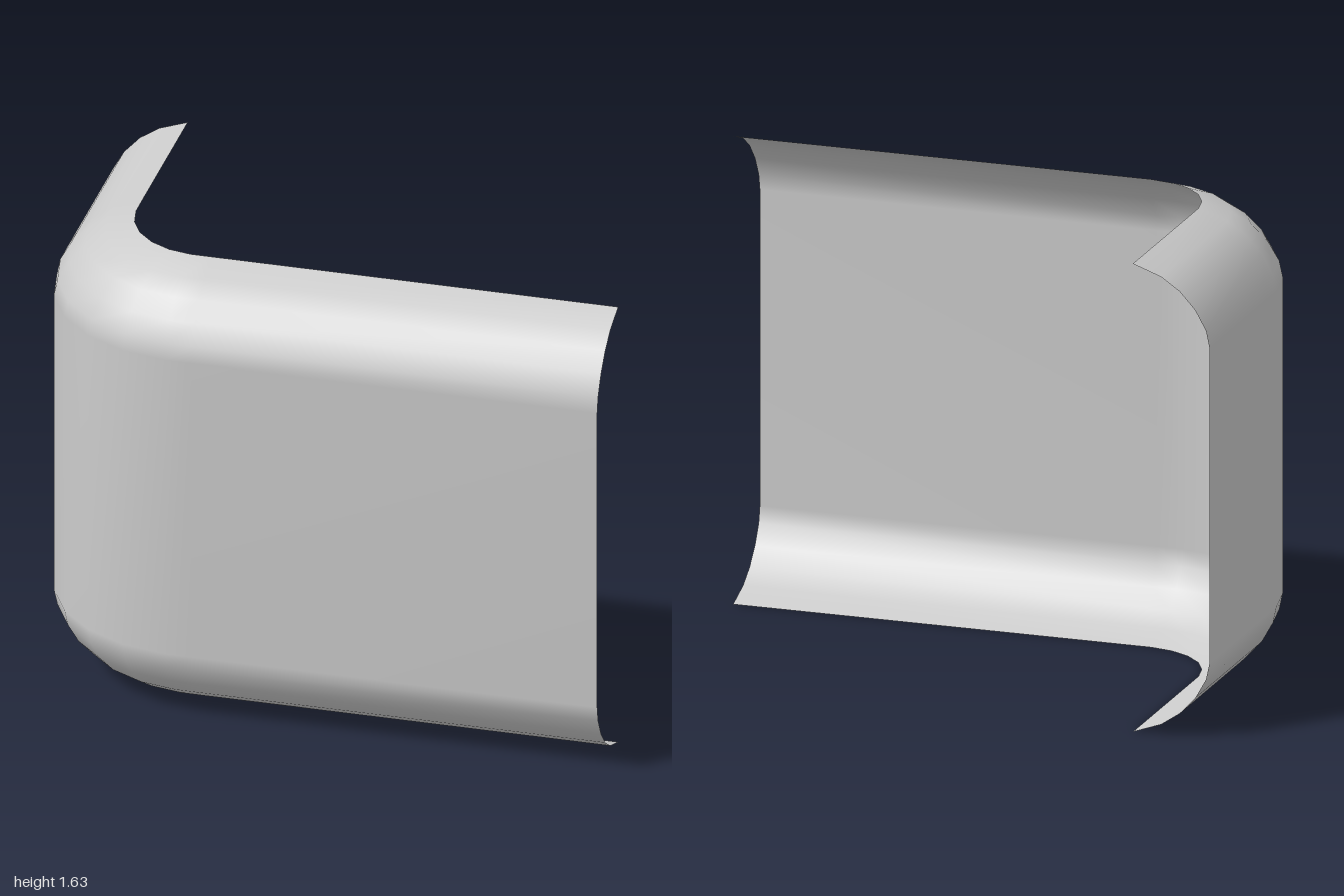
import * as THREE from 'three';

const CORNER_RADIUS = 0.54, CX = -0.46, CZ = 0.055, HEIGHT = 1.63;

// Plan path: back edge, rounded corner, right-hand edge, each with its inward direction
function planPath() {
  const path = [
    { x: -1, z: -0.595, nx: 1, nz: 0 },
    { x: -1, z: 0, nx: 1, nz: 0 },
  ];
  for (let i = 0; i <= 5; i++) {
    const a = THREE.MathUtils.degToRad(3 + i * 16.8);
    const c = Math.cos(a), s = Math.sin(a);
    path.push({ x: CX - CORNER_RADIUS * c, z: CZ + CORNER_RADIUS * s, nx: c, nz: -s });
  }
  path.push({ x: -0.4, z: 0.595, nx: 0, nz: -1 }, { x: 1, z: 0.595, nx: 0, nz: -1 });
  return path;
}

// Upright section as [inward offset, height]; the top lip mirrors the bottom one
function section() {
  const lip = [[0.27, 0], [0.17, 0.036], [0.105, 0.08], [0.05, 0.14], [0.012, 0.208], [0, 0.265]];
  return [...lip, ...lip.map(([d, y]) => [d, HEIGHT - y]).reverse()];
}

// Sweep the section along the path
function sweep(path, profile) {
  const positions = [], indices = [], n = profile.length;
  path.forEach((p, i) => profile.forEach(([d, y], j) => {
    positions.push(p.x + p.nx * d, y, p.z + p.nz * d);
    if (i < path.length - 1 && j < n - 1) {
      const a = i * n + j, b = a + n;
      indices.push(a, b, b + 1, a, b + 1, a + 1);
    }
  }));
  const geometry = new THREE.BufferGeometry();
  geometry.setAttribute('position', new THREE.Float32BufferAttribute(positions, 3));
  geometry.setIndex(indices);
  geometry.computeVertexNormals();
  return geometry;
}

export function createModel() {
  const group = new THREE.Group();
  group.name = 'cornerPanel';
  const material = new THREE.MeshStandardMaterial({ color: 0xcccccc, side: THREE.DoubleSide });
  const shell = new THREE.Mesh(sweep(planPath(), section()), material);
  shell.name = 'curvedShell';
  group.add(shell);
  return group;
}
